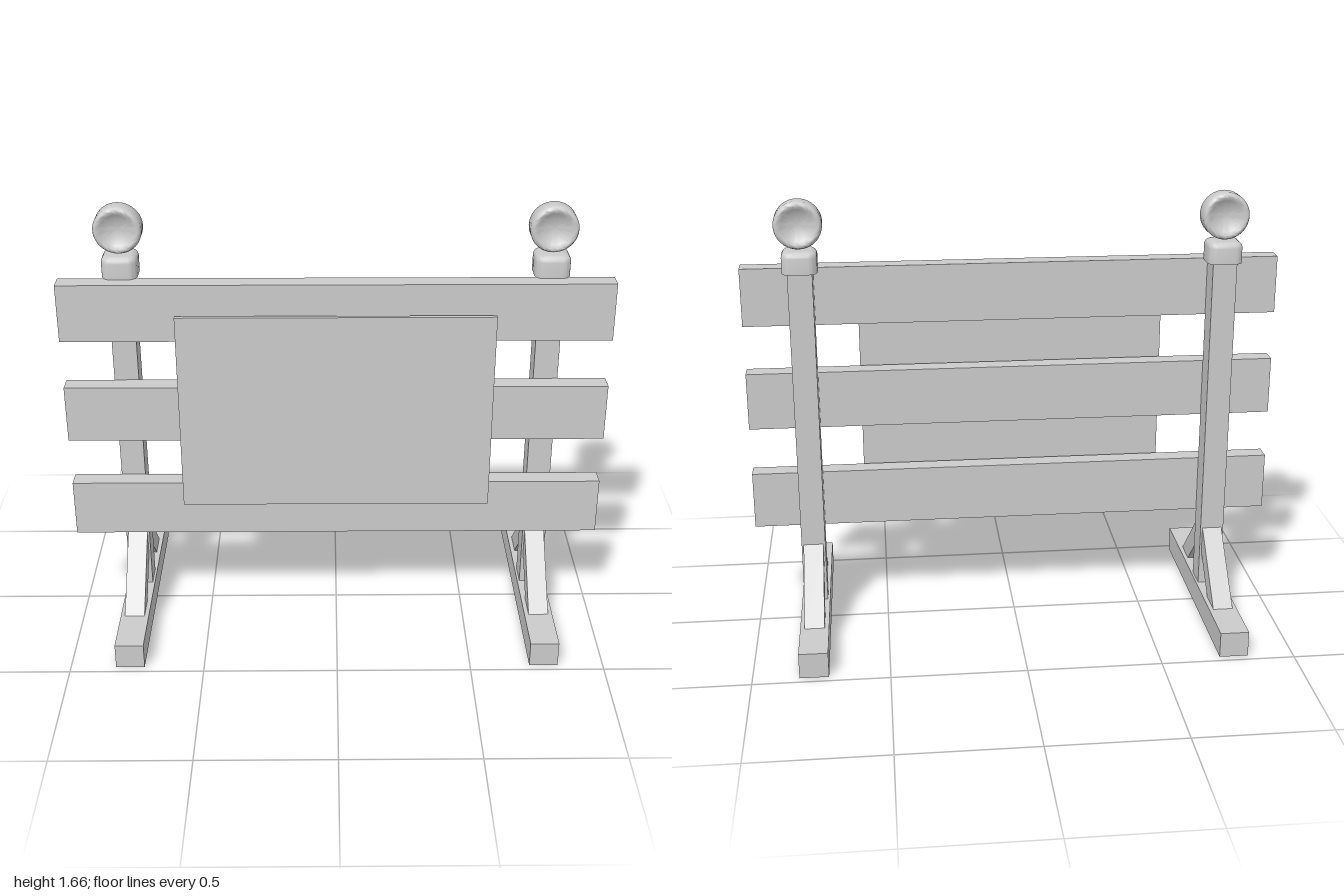
import * as THREE from 'three';
import { toCreasedNormals } from 'three/addons/utils/BufferGeometryUtils.js';

const material = new THREE.MeshStandardMaterial({ color: 0xcccccc });

function add(parent, name, geometry, x = 0, y = 0, z = 0) {
  const mesh = new THREE.Mesh(geometry, material);
  mesh.name = name;
  mesh.position.set(x, y, z);
  parent.add(mesh);
  return mesh;
}

const box = (w, h, d) => new THREE.BoxGeometry(w, h, d);

// Diagonal strut: a parallelogram in the side plane, extruded across x
function braceGeometry() {
  const shape = new THREE.Shape([
    [0.045, 0.335], [0.045, 0.23], [0.177, 0.097], [0.281, 0.097],
  ].map(([z, y]) => new THREE.Vector2(z, y)));
  const width = 0.075;
  return new THREE.ExtrudeGeometry(shape, { depth: width, bevelEnabled: false })
    .translate(0, 0, -width / 2)
    .rotateY(-Math.PI / 2);
}

// Lamp base: rounded square block with a softened top edge, lying on y = 0
function lampBaseGeometry() {
  const bevel = 0.022, half = 0.064 - bevel, r = 0.012;
  const shape = new THREE.Shape();
  shape.moveTo(-half + r, -half);
  shape.lineTo(half - r, -half);
  shape.absarc(half - r, -half + r, r, -Math.PI / 2, 0);
  shape.absarc(half - r, half - r, r, 0, Math.PI / 2);
  shape.absarc(-half + r, half - r, r, Math.PI / 2, Math.PI);
  shape.absarc(-half + r, -half + r, r, Math.PI, Math.PI * 1.5);
  const geometry = new THREE.ExtrudeGeometry(shape, {
    depth: 0.058, bevelThickness: bevel, bevelSize: bevel, bevelSegments: 4, curveSegments: 5,
  }).rotateX(-Math.PI / 2);
  // Flatten the lower bevel into straight sides
  const p = geometry.attributes.position;
  for (let i = 0; i < p.count; i++) {
    if (p.getY(i) < 0) p.setY(i, 0);
  }
  return toCreasedNormals(geometry, 0.6);
}

// Lamp: round-edged disc with a shallow dish on both faces, facing z
function lampGeometry() {
  const half = [
    [0, 0.014], [0.02, 0.016], [0.04, 0.022], [0.058, 0.031],
    [0.07, 0.04], [0.077, 0.04], [0.083, 0.035], [0.087, 0.026],
  ];
  const profile = [
    ...half.map(([r, y]) => new THREE.Vector2(r, -y)),
    ...half.map(([r, y]) => new THREE.Vector2(r, y)).reverse(),
  ];
  return toCreasedNormals(new THREE.LatheGeometry(profile, 40), 0.7).rotateX(Math.PI / 2);
}

export function createModel() {
  const model = new THREE.Group();
  model.name = 'barricade';

  // Two mirrored stands with lamps
  for (const side of [-1, 1]) {
    const stand = new THREE.Group();
    stand.name = side > 0 ? 'leftStand' : 'rightStand';
    stand.position.x = side * 0.777;
    model.add(stand);

    add(stand, 'foot', box(0.107, 0.097, 0.944), 0, 0.0485, 0);
    add(stand, 'post', box(0.09, 1.3, 0.094), 0, 0.747, 0);
    add(stand, 'frontBrace', braceGeometry());
    add(stand, 'backBrace', braceGeometry()).rotation.y = Math.PI;
    add(stand, 'lampBase', lampBaseGeometry(), 0, 1.397, 0);
    add(stand, 'lamp', lampGeometry(), 0, 1.57, 0);
  }

  // Three horizontal planks across the front of the posts
  for (const y of [0.484, 0.885, 1.288]) {
    add(model, 'plank', box(2, 0.218, 0.07), 0, y, 0.083);
  }

  // Thin sign panel standing slightly clear of the planks
  add(model, 'signPanel', box(1.154, 0.768, 0.016), -0.002, 0.901, 0.143);

  return model;
}
